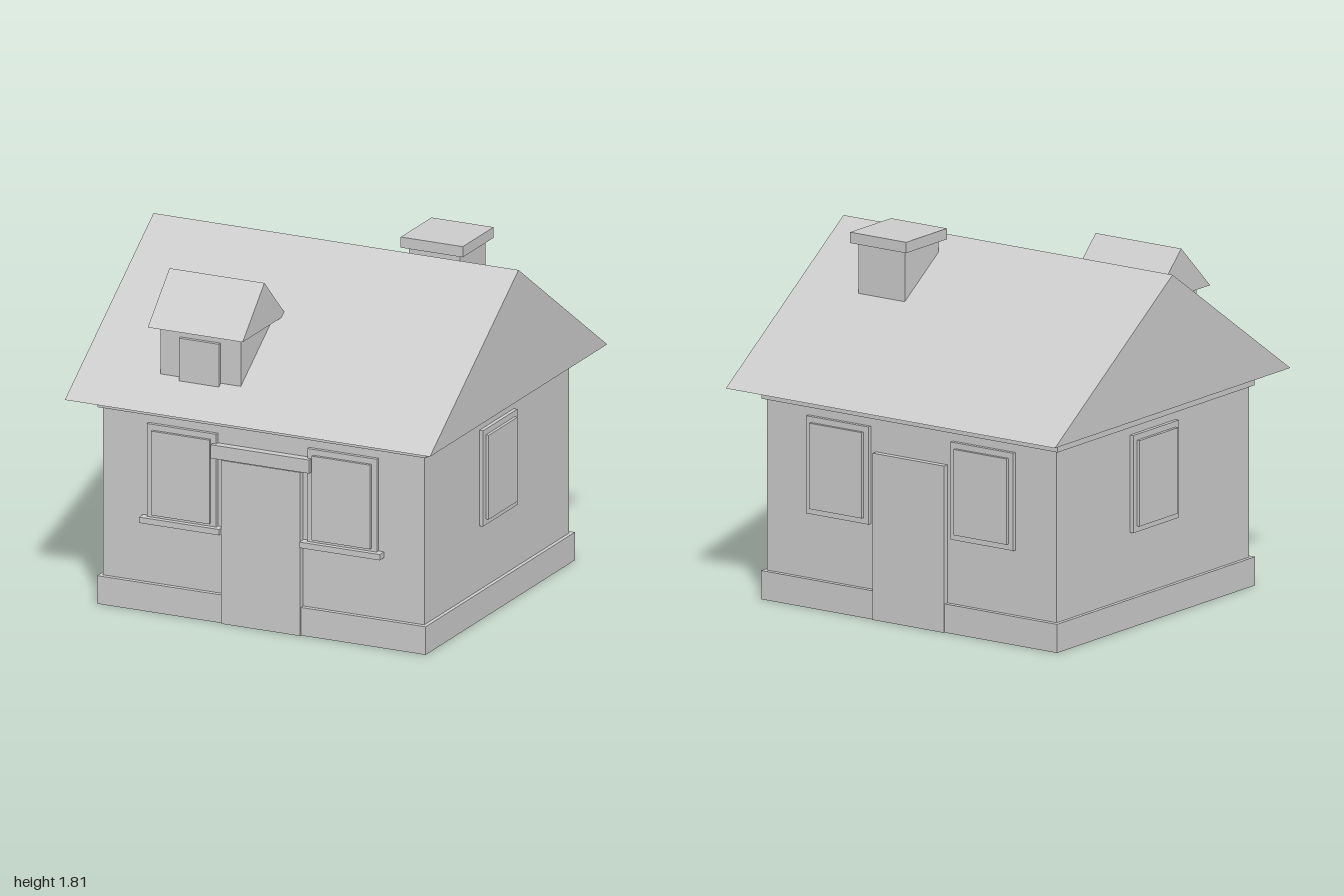
import * as THREE from 'three';

const material = new THREE.MeshStandardMaterial({ color: 0xcccccc, flatShading: true });

function add(parent, name, geometry) {
  const mesh = new THREE.Mesh(geometry, material);
  mesh.name = name;
  parent.add(mesh);
  return mesh;
}

// Box given by its minimum and maximum along each axis
function box(parent, name, [x0, x1], [y0, y1], [z0, z1]) {
  const mesh = add(parent, name, new THREE.BoxGeometry(x1 - x0, y1 - y0, z1 - z0));
  mesh.position.set((x0 + x1) / 2, (y0 + y1) / 2, (z0 + z1) / 2);
  return mesh;
}

// Triangular prism with its ridge along x
function gableRoof(parent, name, [x0, x1], [y0, y1], [z0, z1]) {
  const half = (z1 - z0) / 2;
  const shape = new THREE.Shape([
    new THREE.Vector2(-half, y0), new THREE.Vector2(half, y0), new THREE.Vector2(0, y1),
  ]);
  const geometry = new THREE.ExtrudeGeometry(shape, { depth: x1 - x0, bevelEnabled: false });
  geometry.rotateY(Math.PI / 2).translate(x0, 0, (z0 + z1) / 2);
  return add(parent, name, geometry);
}

// Window on a wall plane facing +z: surround, raised pane and optional sill
function makeWindow(name, withSill) {
  const group = new THREE.Group();
  group.name = name;
  box(group, 'windowFrame', [-0.19, 0.19], [0.475, 0.97], [-0.02, 0.02]);
  box(group, 'windowPane', [-0.16, 0.16], [0.505, 0.94], [-0.02, 0.036]);
  if (withSill) box(group, 'windowSill', [-0.22, 0.22], [0.46, 0.49], [-0.02, 0.048]);
  return group;
}

export function createModel() {
  const house = new THREE.Group();
  house.name = 'house';

  // Main body
  box(house, 'walls', [-0.88, 0.88], [0, 1.085], [-0.8, 0.8]);
  box(house, 'plinth', [-0.9, 0.9], [0, 0.145], [-0.825, 0.825]);
  box(house, 'cornice', [-0.9, 0.9], [1.015, 1.085], [-0.82, 0.82]);
  gableRoof(house, 'mainRoof', [-1, 1], [1.085, 1.76], [-0.98, 0.98]);

  // Doors on both long walls, with a lintel over the front one
  box(house, 'frontDoor', [-0.217, 0.217], [0, 0.845], [0.78, 0.835]);
  box(house, 'backDoor', [-0.217, 0.217], [0, 0.845], [-0.832, -0.78]);
  box(house, 'doorLintel', [-0.27, 0.27], [0.85, 0.92], [0.78, 0.843]);

  // Paired windows on the long walls, a single one on each gable wall
  for (const side of [-1, 1]) {
    const front = makeWindow('frontWindow', true);
    front.position.set(side * 0.44, 0, 0.8);
    const back = makeWindow('backWindow', false);
    back.position.set(side * 0.44, 0, -0.8);
    back.rotation.y = Math.PI;
    const gable = makeWindow('sideWindow', false);
    gable.position.set(side * 0.88, 0, 0);
    gable.rotation.y = side * Math.PI / 2;
    house.add(front, back, gable);
  }

  // Dormer
  const dormer = new THREE.Group();
  dormer.name = 'dormer';
  box(dormer, 'dormerWalls', [-0.575, -0.135], [1.2, 1.475], [0.42, 0.78]);
  box(dormer, 'dormerWindow', [-0.465, -0.245], [1.19, 1.43], [0.76, 0.8]);
  gableRoof(dormer, 'dormerRoof', [-0.615, -0.095], [1.475, 1.71], [0.36, 0.84]);
  house.add(dormer);

  // Chimney
  box(house, 'chimneyShaft', [0.35, 0.63], [1.4, 1.755], [-0.38, -0.1]);
  box(house, 'chimneyCap', [0.32, 0.66], [1.755, 1.81], [-0.41, -0.07]);

  return house;
}
